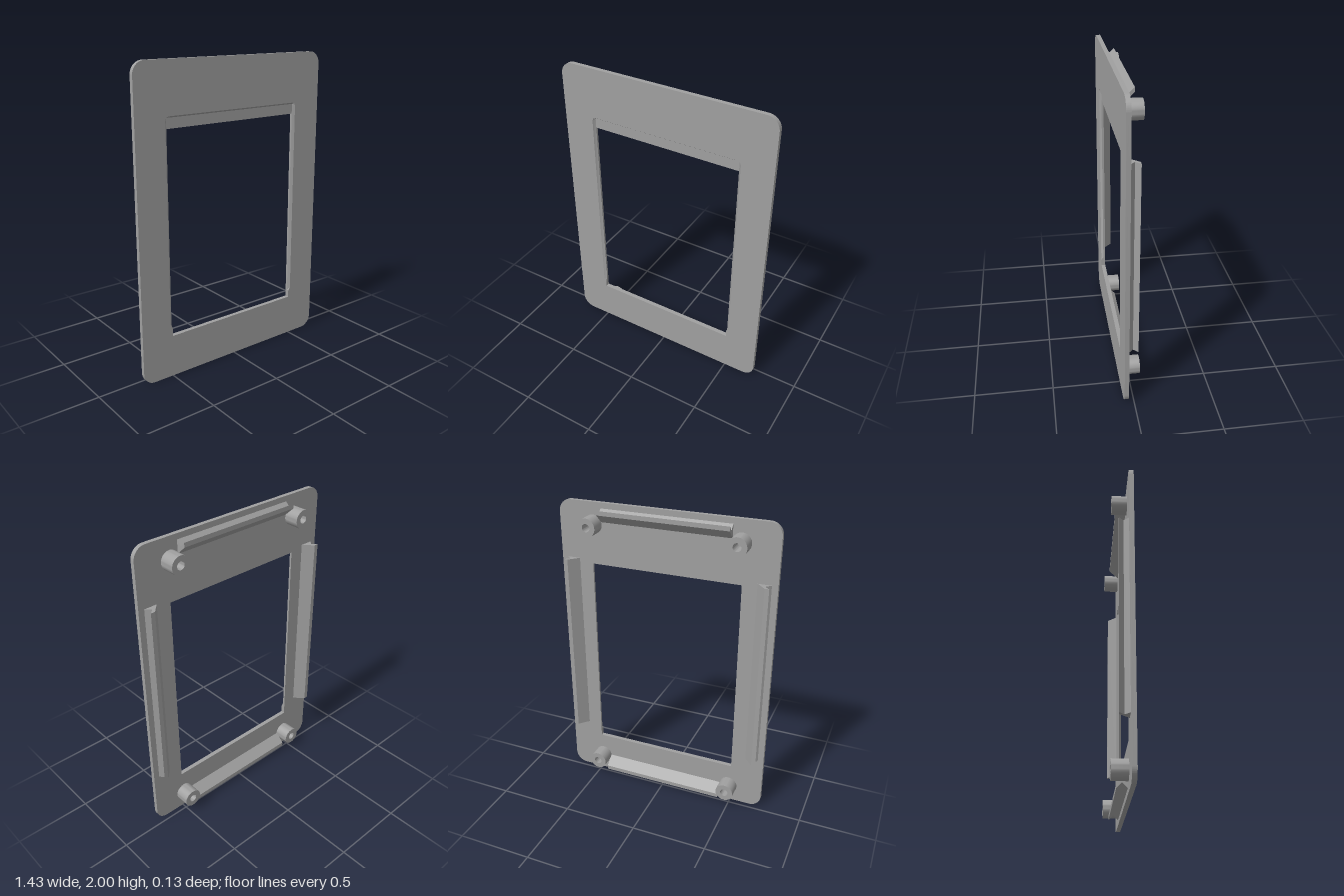
import * as THREE from 'three';
import { toCreasedNormals } from 'three/addons/utils/BufferGeometryUtils.js';

const BACK = 0.035, STEP = 0.049, FRONT = 0.063;

// Closed shape or hole from corner points
const polygon = (points, Type = THREE.Shape) => new Type(points.map(([x, y]) => new THREE.Vector2(x, y)));

const extrude = (shape, depth, curveSegments = 12) =>
  new THREE.ExtrudeGeometry(shape, { depth, bevelEnabled: false, curveSegments });

// Plate outline with rounded corners
function plateShape(hole) {
  const w = 0.715, h = 2, r = 0.08;
  const s = new THREE.Shape();
  s.absarc(w - r, r, r, -Math.PI / 2, 0, false);
  s.absarc(w - r, h - r, r, 0, Math.PI / 2, false);
  s.absarc(-w + r, h - r, r, Math.PI / 2, Math.PI, false);
  s.absarc(-w + r, r, r, Math.PI, Math.PI * 1.5, false);
  s.closePath();
  s.holes.push(hole);
  return s;
}

export function createModel() {
  const group = new THREE.Group();
  const grey = new THREE.MeshStandardMaterial({ color: 0xa0a0a0 });
  grey.name = 'grey plastic';

  const add = (name, geometry, x = 0, y = 0, z = 0) => {
    const mesh = new THREE.Mesh(toCreasedNormals(geometry, 0.6), grey);
    mesh.name = name;
    mesh.position.set(x, y, z);
    group.add(mesh);
    return mesh;
  };

  // Back layer with the plain window opening
  const window = polygon([[-0.495, 0.28], [-0.495, 1.6], [0.495, 1.6], [0.495, 0.28]], THREE.Path);
  add('plateBack', extrude(plateShape(window), STEP - BACK), 0, 0, BACK);

  // Front layer: wider, taller opening whose walls slope inward to the ledge
  const half = [[0.495, 0.28], [0.495, 0.33], [0.51, 0.35], [0.51, 1.65], [0.503, 1.668], [0.485, 1.675]];
  const recess = polygon([...half, ...half.map(([x, y]) => [-x, y]).reverse()], THREE.Path);
  const front = extrude(plateShape(recess), FRONT - STEP);
  const p = front.attributes.position;
  for (let i = 0; i < p.count; i++) {
    const x = p.getX(i), y = p.getY(i);
    if (p.getZ(i) > 0.001 || Math.abs(x) > 0.52 || y < 0.2 || y > 1.7) continue;
    p.setX(i, THREE.MathUtils.clamp(x, -0.495, 0.495));
    p.setY(i, Math.min(y, 1.665));
  }
  add('plateFront', front, 0, 0, STEP);

  // Hollow screw posts in the corners
  const ring = new THREE.Shape().absarc(0, 0, 0.06, 0, Math.PI * 2, false);
  ring.holes.push(new THREE.Path().absarc(0, 0, 0.026, 0, Math.PI * 2, true));
  for (const x of [-0.482, 0.482]) {
    for (const y of [0.12, 1.86]) add('screwPost', extrude(ring, BACK + 0.063, 20), x, y, -0.063);
  }

  // Hooked rails along the four edges, notched on the outer side
  const rail = (name, angle, offset, length) => {
    const profile = polygon([[0, 0], [0.086, 0], [0.055, 0.032], [0.086, 0.062], [0.058, 0.062]]);
    const g = extrude(profile, length);
    g.rotateX(-Math.PI / 2);
    g.translate(offset, -length / 2, 0);
    add(name, g, 0, 1.0, BACK).rotation.z = angle;
  };
  rail('leftRail', 0, 0.59, 1.25);
  rail('topRail', Math.PI / 2, 0.878, 0.85);
  rail('rightRail', Math.PI, 0.59, 1.25);
  rail('bottomRail', -Math.PI / 2, 0.878, 0.85);

  return group;
}
